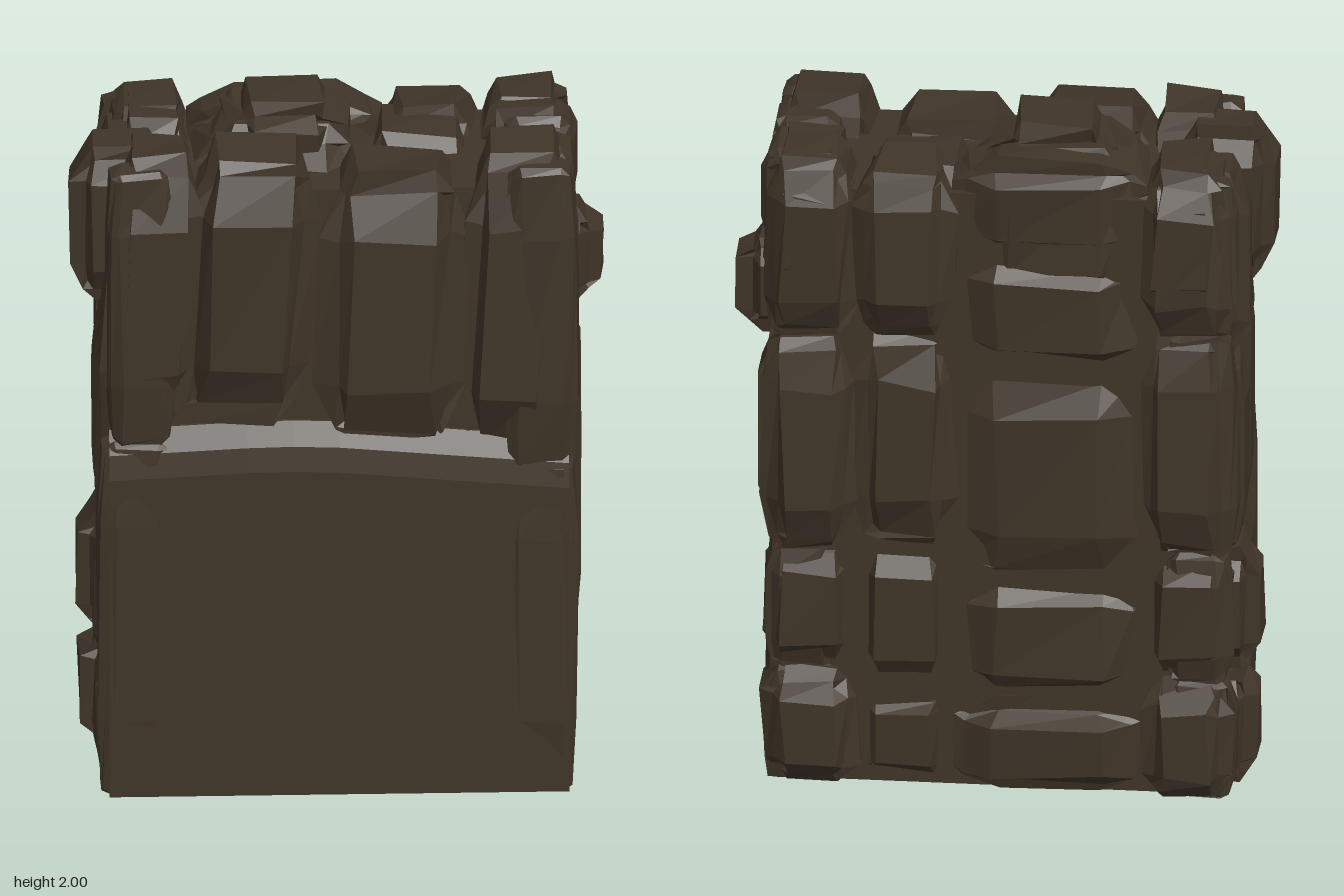
import * as THREE from 'three';

const stoneMat = new THREE.MeshStandardMaterial({ color: 0x3f3428, flatShading: true });
stoneMat.name = 'dark brown stone';

// Repeatable noise in -1..1, equal for equal positions so seams stay closed
const noise = (a, b, c, s) => {
  const n = Math.sin(a * 12.99 + b * 78.23 + c * 37.72 + s * 4.13) * 43758.5453;
  return (n - Math.floor(n)) * 2 - 1;
};

// Rough block between two corners, with worn edges
let seed = 0;
function stone(name, [x0, x1], [y0, y1], [z0, z1], wear = 0.035, rough = 0.011, lean = 0) {
  const s = ++seed;
  const size = [x1 - x0, y1 - y0, z1 - z0];
  const mid = [(x0 + x1) / 2, (y0 + y1) / 2, (z0 + z1) / 2];
  const inset = Math.min(wear, Math.min(...size) * 0.25);
  const g = new THREE.BoxGeometry(2, 2, 2, 3, 3, 3);
  const p = g.attributes.position;
  for (let i = 0; i < p.count; i++) {
    const q = [p.getX(i), p.getY(i), p.getZ(i)].map(v => Math.round(v * 3));
    const ends = q.filter(v => Math.abs(v) === 3).length;
    const out = q.map((v, k) => {
      const end = Math.abs(v) === 3;
      let r = mid[k] + (end ? Math.sign(v) : Math.sign(v) * 0.55) * size[k] / 2;
      if (end && ends > 1) r -= Math.sign(v) * inset * (ends === 3 ? 1.15 : 0.8);
      return r + rough * noise(q[0], q[1], q[2], s + k * 17);
    });
    out[0] += lean * (out[1] - mid[1]) / size[1];
    p.setXYZ(i, out[0], Math.max(0.005, out[1]), out[2]);
  }
  g.computeVertexNormals();
  const m = new THREE.Mesh(g, stoneMat);
  m.name = name;
  return m;
}

// Smooth lower front with a sloping, wavy ledge
function frontSlab() {
  const g = new THREE.BoxGeometry(1.26, 1, 0.4, 10, 4, 1);
  const p = g.attributes.position;
  for (let i = 0; i < p.count; i++) {
    const x = p.getX(i), row = Math.round((p.getY(i) + 0.5) * 4), front = p.getZ(i) > 0;
    const top = 1.13 - 0.09 * Math.max(0, x + 0.05) - 0.05 * Math.max(0, -x - 0.2);
    const y = [0.012, 0.5, top - 0.13, top - 0.06, top][row];
    const z = [0.305, 0.305, 0.305, 0.292, 0.25][row];
    p.setXYZ(i, x, y, front ? z : -0.1);
  }
  g.computeVertexNormals();
  const m = new THREE.Mesh(g, stoneMat);
  m.name = 'frontSlab';
  return m;
}

export function createModel() {
  const wall = new THREE.Group();
  wall.name = 'stoneWall';
  const add = (...a) => wall.add(stone(...a));

  // Solid heart that closes the joints
  const core = new THREE.Mesh(new THREE.BoxGeometry(1.22, 1.82, 0.48), stoneMat);
  core.name = 'core';
  core.position.set(0, 0.92, 0);
  wall.add(core, frontSlab());

  // Big rounded stones above the ledge: x range, y range, front depth, lean
  [
    [[-0.64, -0.38], [1.1, 1.94], 0.31, 0.05],
    [[-0.44, -0.06], [1.13, 1.93], 0.315, 0.05],
    [[-0.06, 0.36], [1.05, 1.88], 0.32, 0.02],
    [[0.33, 0.63], [1.0, 1.94], 0.31, 0.04],
  ].forEach(([x, y, z, lean]) => add('upperFrontStone', x, y, [0.03, z], 0.065, 0.014, lean));

  // Cap stones along the top
  [
    [[-0.62, -0.38], [1.5, 1.92], [-0.3, 0.04]],
    [[-0.4, 0.09], [1.5, 1.94], [-0.25, 0.13]],
    [[-0.31, 0.03], [1.7, 2.0], [-0.19, 0.09]],
    [[0.05, 0.42], [1.5, 1.88], [-0.26, 0.08]],
    [[0.4, 0.64], [1.5, 1.92], [-0.3, 0.02]],
  ].forEach(([x, y, z]) => add('capStone', x, y, z, 0.07, 0.014));

  // Back courses: x range, joint heights, depth of each stone
  [
    [[0.39, 0.65], [0, 0.35, 0.73, 1.38, 1.92], [0.31, 0.275, 0.315, 0.31]],
    [[0.12, 0.4], [0, 0.3, 0.75, 1.4, 1.9], [0.27, 0.27, 0.29, 0.315]],
    [[-0.4, 0.13], [0, 0.28, 0.66, 1.3, 1.64, 1.93], [0.29, 0.27, 0.275, 0.27, 0.26]],
    [[-0.64, -0.39], [0, 0.36, 0.75, 1.42, 1.92], [0.31, 0.28, 0.3, 0.31]],
  ].forEach(([x, ys, depth]) => depth.forEach((d, i) =>
    add('backStone', x, [ys[i] - 0.004, ys[i + 1] + 0.004], [-d, -0.05], 0.045, 0.013)));

  // Side columns: side, z range, joint heights, reach of each stone
  [
    [1, [0.185, 0.308], [0, 1.0, 1.9], [0.655, 0.655]],
    [1, [0, 0.19], [0, 0.38, 1.33, 1.6, 1.9], [0.65, 0.662, 0.66, 0.655]],
    [1, [-0.19, 0], [0, 0.73, 1.34, 1.62, 1.9], [0.655, 0.675, 0.73, 0.66]],
    [1, [-0.26, -0.18], [0, 0.35, 0.73, 1.38, 1.9], [0.65, 0.64, 0.655, 0.65]],
    [-1, [0.185, 0.308], [0, 1.08, 1.9], [0.665, 0.64]],
    [-1, [0, 0.19], [0, 0.35, 0.73, 1.46, 1.92], [0.66, 0.665, 0.665, 0.735]],
    [-1, [-0.2, 0.01], [0, 0.35, 0.73, 1.3, 1.88], [0.705, 0.71, 0.665, 0.68]],
    [-1, [-0.27, -0.18], [0, 0.36, 0.75, 1.42, 1.9], [0.65, 0.64, 0.655, 0.65]],
  ].forEach(([s, z, ys, reach]) => reach.forEach((r, i) =>
    add(s > 0 ? 'leftSideStone' : 'rightSideStone', s > 0 ? [0.45, r] : [-r, -0.45],
      [ys[i] - 0.003, ys[i + 1] + 0.003], z, r > 0.67 ? 0.05 : 0.02, 0.007)));

  return wall;
}
